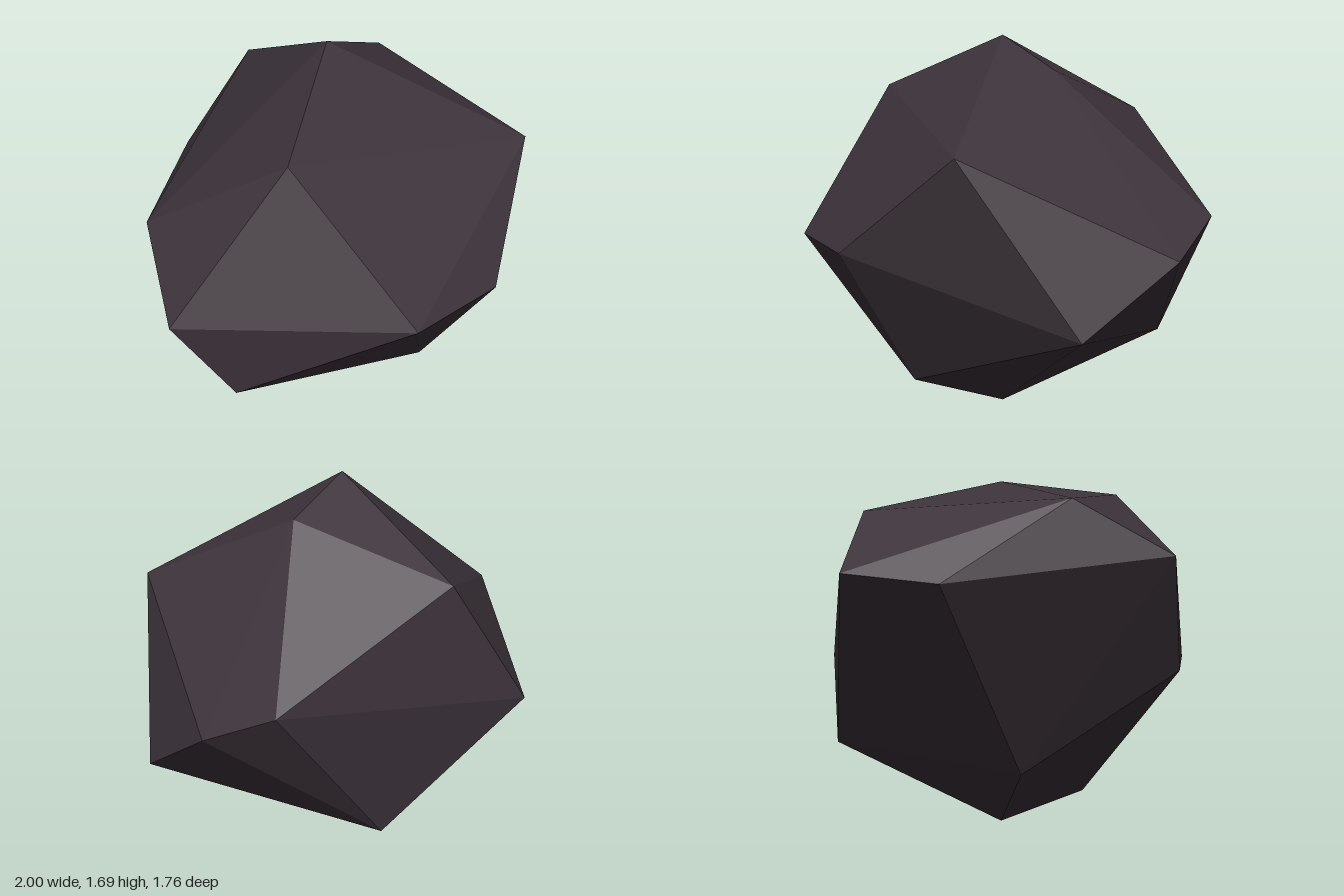
import * as THREE from 'three';
import { ConvexGeometry } from 'three/addons/geometries/ConvexGeometry.js';

export function createModel() {
  const group = new THREE.Group();
  group.name = 'rock';

  const stone = new THREE.MeshStandardMaterial({ color: 0x3a3138, flatShading: true });
  stone.name = 'dark stone';

  // Corners of the faceted boulder: six extremes, then the chipped corners between
  const corners = [
    [1, 0.85, 0], [-1, 0.85, 0], [0, 1.69, 0], [0, 0, 0], [0, 0.85, 0.88], [0, 0.85, -0.88],
    // upper
    [0.34, 1.55, 0.02], [-0.53, 1.46, 0.23], [0.49, 1.26, 0.69], [0.22, 1.35, -0.64],
    // middle
    [0.87, 0.58, 0.4], [-0.42, 0.85, 0.78], [0.93, 0.98, -0.29],
    [-0.77, 1.08, -0.33], [-0.39, 0.72, -0.68],
    // lower
    [0.02, 0.24, 0.53], [0.51, 0.36, -0.5], [-0.84, 0.47, 0.18], [-0.31, 0.09, -0.18],
  ].map((p) => new THREE.Vector3(...p));

  const boulder = new THREE.Mesh(new ConvexGeometry(corners), stone);
  boulder.name = 'boulder';
  group.add(boulder);
  return group;
}
